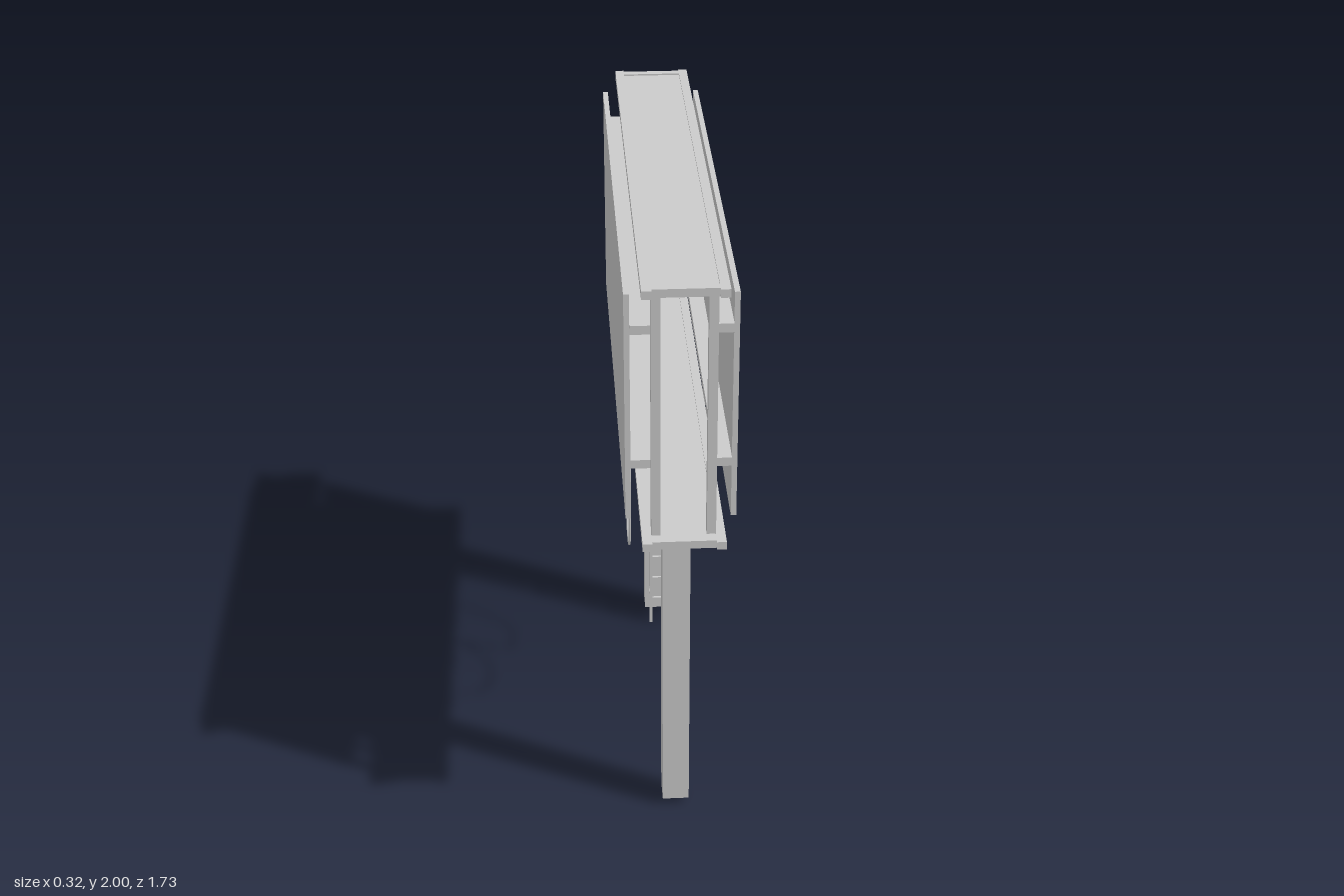
import * as THREE from 'three';

const grey = new THREE.MeshStandardMaterial({ color: 0xcccccc });
const greyOpen = new THREE.MeshStandardMaterial({ color: 0xcccccc, flatShading: true, side: THREE.DoubleSide });

export function createModel() {
  const root = new THREE.Group();
  root.name = 'billboard';

  const group = (name) => {
    const g = new THREE.Group();
    g.name = name;
    root.add(g);
    return g;
  };

  // Box given by its min and max on each axis
  const box = (parent, name, [x0, x1], [y0, y1], [z0, z1]) => {
    const mesh = new THREE.Mesh(new THREE.BoxGeometry(x1 - x0, y1 - y0, z1 - z0), grey);
    mesh.position.set((x0 + x1) / 2, (y0 + y1) / 2, (z0 + z1) / 2);
    mesh.name = name;
    parent.add(mesh);
    return mesh;
  };
  const around = (c, size) => [c - size / 2, c + size / 2];

  const legZ = [0.535, -0.57];
  const midX = 0.003;

  // Legs: open square tubes with a wider cap under the deck
  const legs = group('legs');
  for (const z of legZ) {
    const tube = new THREE.CylinderGeometry(0.085 / Math.SQRT2, 0.085 / Math.SQRT2, 1.1, 4, 1, true);
    tube.rotateY(Math.PI / 4);
    const leg = new THREE.Mesh(tube, greyOpen);
    leg.position.set(-0.001, 0.575, z);
    leg.name = 'leg';
    legs.add(leg);
    box(legs, 'legCap', around(-0.001, 0.126), [1.12, 1.18], around(z, 0.118));
  }

  // Bottom and top decks: a rail frame around a recessed plate
  for (const [name, y] of [['bottomDeck', 1.188], ['topDeck', 1.988]]) {
    const deck = group(name);
    for (const s of [-1, 1]) {
      box(deck, 'sideRail', around(midX + s * 0.107, 0.028), around(y, 0.025), [-0.866, 0.866]);
      box(deck, 'endRail', [midX - 0.093, midX + 0.093], around(y, 0.025), around(s * 0.842, 0.028));
    }
    box(deck, 'deckPlate', [midX - 0.093, midX + 0.093], around(y, 0.015), [-0.828, 0.828]);
  }

  // Corner posts
  const posts = group('posts');
  for (const sx of [-1, 1]) for (const sz of [-1, 1])
    box(posts, 'post', around(midX + sx * 0.08, 0.027), [1.2, 1.976], around(sz * 0.804, 0.029));

  // Display panels, each carried by two long beams
  for (const s of [-1, 1]) {
    const side = group(s > 0 ? 'leftDisplay' : 'rightDisplay');
    const panelX = s * 0.152 - 0.003;
    box(side, 'panel', around(panelX, 0.016), [1.242, 1.955], [-0.788, 0.788]);
    const ends = [midX + s * 0.09, panelX - s * 0.008].sort((a, b) => a - b);
    for (const y of [1.426, 1.85]) box(side, 'beam', ends, around(y, 0.027), [-0.796, 0.796]);
  }

  // Ladder standing off the rear leg
  const ladder = group('ladder');
  const ladderZ = -0.472;
  for (const s of [-1, 1])
    box(ladder, 'ladderRail', around(s * 0.025, 0.011), [0, 1.176], around(ladderZ, 0.012));
  for (let i = 0; i < 12; i++) {
    const y = 0.103 + i * 0.0898;
    box(ladder, 'rung', [-0.025, 0.025], around(y, 0.009), around(ladderZ, 0.009));
    for (const s of [-1, 1])
      box(ladder, 'standoff', around(s * 0.025, 0.008), around(y, 0.009), [-0.528, ladderZ]);
  }

  // Loose cables sagging from the lower beams: [x, middle z, half span, lowest y, steepness]
  const cables = group('cables');
  const topY = 1.413;
  for (const [x, z, half, low, power] of [
    [-0.138, 0.36, 0.141, 0.904, 4.4],
    [-0.105, -0.187, 0.265, 1.002, 3.5],
    [0.13, 0.216, 0.206, 1.002, 3.4],
    [0.138, -0.048, 0.138, 0.904, 4.4],
  ]) {
    const points = [];
    for (let i = 0; i <= 14; i++) {
      const u = Math.sin((i / 7 - 1) * Math.PI / 2);
      points.push(new THREE.Vector3(x, low + (topY - low) * Math.abs(u) ** power, z + half * u));
    }
    const curve = new THREE.CatmullRomCurve3(points);
    const cable = new THREE.Mesh(new THREE.TubeGeometry(curve, 24, 0.004, 6), grey);
    cable.name = 'cable';
    cables.add(cable);
  }

  return root;
}
